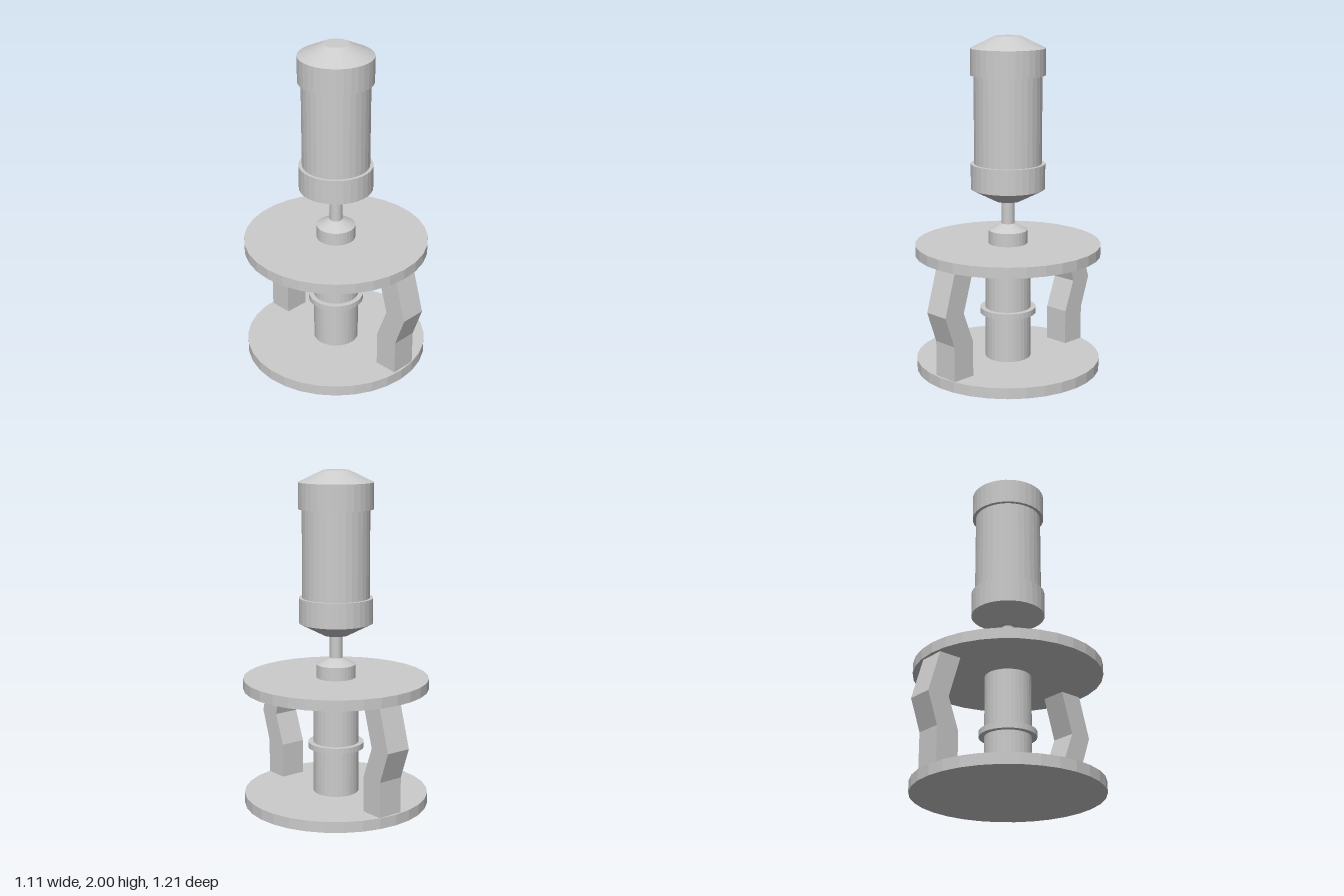
import * as THREE from 'three';

const SIDES = 32;

export function createModel() {
  const model = new THREE.Group();
  const material = new THREE.MeshStandardMaterial({ color: 0xcccccc, flatShading: true });

  const add = (name, geometry) => {
    const mesh = new THREE.Mesh(geometry, material);
    mesh.name = name;
    model.add(mesh);
    return mesh;
  };

  // Round part from a [radius, height] profile, bottom to top, capped at both ends
  const turned = (name, profile) => {
    const points = [[0, profile[0][1]], ...profile, [0, profile[profile.length - 1][1]]];
    return add(name, new THREE.LatheGeometry(points.map(([r, y]) => new THREE.Vector2(r, y)), SIDES));
  };
  const disc = (name, r, y0, y1) => turned(name, [[r, y0], [r, y1]]);

  // Stand: two plates around a collared column
  disc('basePlate', 0.555, 0, 0.065);
  disc('upperPlate', 0.555, 0.71, 0.773);
  disc('column', 0.137, 0.06, 0.715);
  disc('columnCollar', 0.168, 0.34, 0.375);

  // Hub and thin rod above the upper plate
  turned('hub', [[0.117, 0.77], [0.117, 0.853], [0.04, 0.893]]);
  disc('rod', 0.038, 0.88, 1.04);

  // Canister with a tapered cap at each end
  turned('lowerCap', [[0.075, 1.03], [0.22, 1.105], [0.22, 1.255]]);
  disc('canister', 0.2, 1.25, 1.78);
  turned('upperCap', [[0.22, 1.775], [0.22, 1.93], [0.075, 2]]);

  // Bent legs, mirrored front to back
  const legProfile = [
    [0.395, 0.06], [0.54, 0.06], [0.54, 0.275], [0.605, 0.46],
    [0.53, 0.715], [0.388, 0.715], [0.465, 0.46], [0.395, 0.275],
  ];
  for (const [name, side] of [['frontLeg', 1], ['backLeg', -1]]) {
    const shape = new THREE.Shape(legProfile.map(([z, y]) => new THREE.Vector2(z * side, y)));
    const geometry = new THREE.ExtrudeGeometry(shape, { depth: 0.157, bevelEnabled: false });
    geometry.rotateY(-Math.PI / 2).translate(0.112, 0, 0);
    add(name, geometry);
  }

  return model;
}
